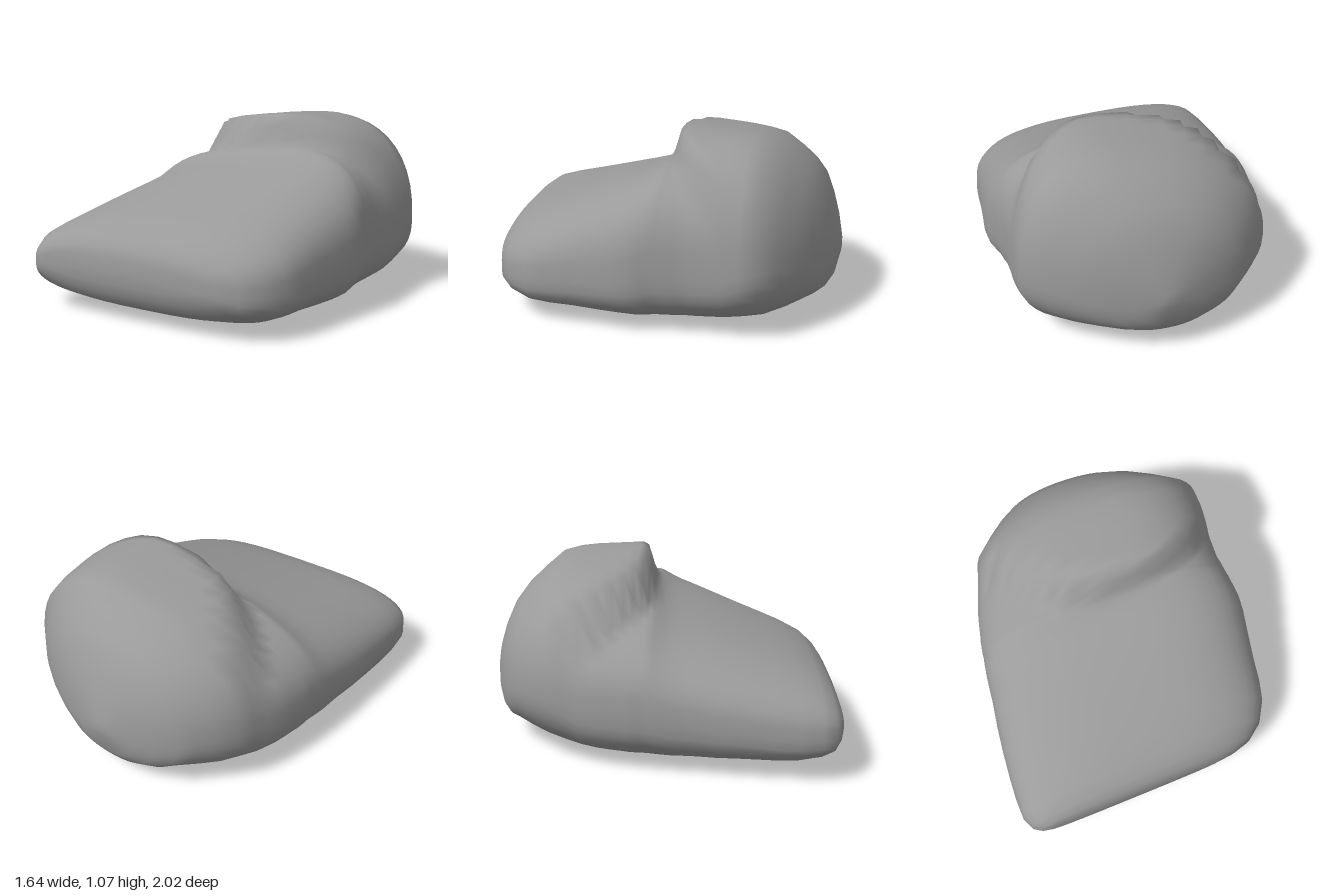
import * as THREE from 'three';

const SIDES = 48;
const { clamp, lerp, smoothstep } = THREE.MathUtils;

// Skin a list of closed rings (arrays of [x, y, z]) and close both ends
function loft(name, rings) {
  const pos = [], index = [];
  const n = SIDES, last = (rings.length - 1) * n;
  rings.forEach(r => r.forEach(p => pos.push(...p)));
  for (const r of [rings[0], rings[rings.length - 1]]) {
    for (let k = 0; k < 3; k++) pos.push(r.reduce((s, p) => s + p[k], 0) / n);
  }
  const c0 = rings.length * n, c1 = c0 + 1;
  for (let j = 0; j < n; j++) {
    const k = (j + 1) % n;
    for (let i = 0; i < rings.length - 1; i++) {
      const a = i * n + j, b = i * n + k;
      index.push(a, a + n, b, b, a + n, b + n);
    }
    index.push(c0, j, k, c1, last + k, last + j);
  }
  const geo = new THREE.BufferGeometry();
  geo.setAttribute('position', new THREE.Float32BufferAttribute(pos, 3));
  geo.setIndex(index);
  geo.computeVertexNormals();
  const mesh = new THREE.Mesh(geo, new THREE.MeshStandardMaterial({ color: 0x9a9a9a }));
  mesh.name = name;
  return mesh;
}

// Rounded-square ring: unit coordinates for each step around it
function unitRing(power) {
  return Array.from({ length: SIDES }, (_, j) => {
    const a = j / SIDES * Math.PI * 2, c = Math.cos(a), s = Math.sin(a);
    return [c, s].map(v => Math.sign(v) * Math.abs(v) ** (2 / power));
  });
}

// Upright sections from nose to heel: z, left x, right x, bottom y, top y
const NOSE = [
  [0.962, -0.67, 0.38, 0.23, 0.38],
  [0.945, -0.73, 0.5, 0.17, 0.43],
  [0.91, -0.78, 0.61, 0.11, 0.48],
  [0.84, -0.815, 0.7, 0.075, 0.535],
  [0.72, -0.825, 0.76, 0.04, 0.585],
  [0.6, -0.825, 0.78, 0.03, 0.625],
  [0.45, -0.82, 0.79, 0.025, 0.675],
  [0.3, -0.81, 0.805, 0.015, 0.725],
  [0.16, -0.795, 0.82, 0.01, 0.77],
  [0.07, -0.79, 0.82, 0.005, 0.8],
];
// Same, with a second top y for the crown behind the step
const HEEL = [
  [0.01, -0.785, 0.81, 0.005, 0.83, 1.05],
  [-0.03, -0.78, 0.8, 0.005, 0.855, 1.05],
  [-0.06, -0.775, 0.795, 0.005, 0.87, 1.055],
  [-0.085, -0.772, 0.79, 0.005, 0.87, 1.055],
  [-0.12, -0.77, 0.785, 0.005, 0.87, 1.055],
  [-0.16, -0.765, 0.78, 0.005, 0.87, 1.055],
  [-0.21, -0.755, 0.77, 0.008, 0.87, 1.055],
  [-0.27, -0.745, 0.77, 0.01, 0.87, 1.05],
  [-0.35, -0.73, 0.77, 0.015, 0.87, 1.045],
  [-0.44, -0.705, 0.775, 0.02, 0.87, 1.04],
  [-0.54, -0.675, 0.778, 0.025, 0.95, 1.03],
  [-0.64, -0.645, 0.775, 0.035, 1.01, 1.01],
  [-0.74, -0.56, 0.67, 0.06, 0.94, 0.94],
  [-0.82, -0.48, 0.56, 0.09, 0.87, 0.87],
  [-0.88, -0.41, 0.45, 0.11, 0.79, 0.79],
  [-0.93, -0.29, 0.33, 0.14, 0.68, 0.68],
  [-0.97, -0.16, 0.2, 0.2, 0.56, 0.56],
  [-1.0, -0.03, 0.09, 0.33, 0.43, 0.43],
];

export function createModel() {
  const rings = [...NOSE, ...HEEL].map(([z, x0, x1, y0, front, crown = front]) => {
    const power = lerp(2.8, 2.2, smoothstep(-z, 0.3, 0.8));
    const slant = -0.08 * clamp((z + 0.1) / 0.9, 0, 1);
    const lean = 0.13 * clamp((0.9 - z) / 0.9, 0, 1) * clamp((z + 1) / 0.4, 0, 1);
    const mid = lerp(y0, front, 0.4);
    return unitRing(power).map(([u, v]) => {
      const x = (x0 + x1) / 2 + u * (x1 - x0) / 2;
      // curved step where the slope meets the crown
      const step = -0.07 - Math.abs(x - 0.1) ** 2.5;
      const top = lerp(front, crown, smoothstep(step - z, -0.03, 0.04));
      // the upper surface leans down towards -x
      const y = v > 0 ? mid + v * (top - mid + lean * x) : mid + v * (mid - y0);
      return [x, y, z + slant * x];
    });
  });
  const model = new THREE.Group();
  model.name = 'model';
  model.add(loft('body', rings));
  return model;
}
